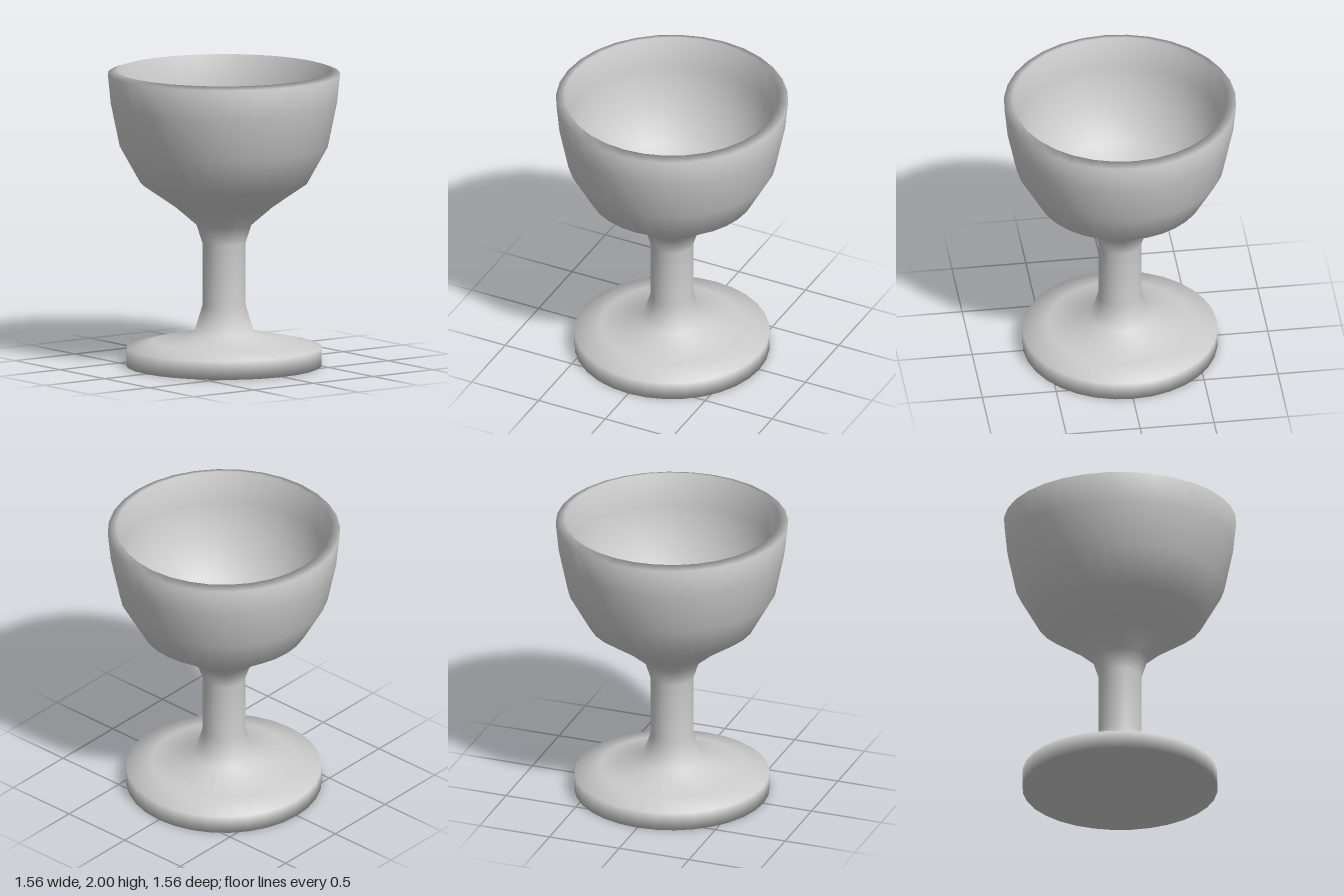
import * as THREE from 'three';

// Half cross-section as [radius, height], from the underside centre, up the outside, over the rim and down inside
const FOOT = [[0, 0], [0.655, 0], [0.655, 0.125], [0.48, 0.166], [0.2, 0.228]];
const STEM = [[0.145, 0.41], [0.145, 0.83], [0.185, 0.955]];
const BOWL_OUTSIDE = [[0.33, 1.08], [0.56, 1.24], [0.7, 1.49], [0.76, 1.78], [0.78, 1.98]];
const BOWL_INSIDE = [[0.72, 2.0], [0.7, 1.77], [0.64, 1.52], [0.5, 1.3], [0.28, 1.16], [0, 1.1]];

export function createModel() {
  const group = new THREE.Group();
  group.name = 'goblet';

  const grey = new THREE.MeshStandardMaterial({ color: 0xcccccc });
  grey.name = 'plain grey';

  // Foot, stem and bowl are one continuous smooth turned surface
  const profile = [...FOOT, ...STEM, ...BOWL_OUTSIDE, ...BOWL_INSIDE]
    .map(([r, y]) => new THREE.Vector2(r, y));
  const goblet = new THREE.Mesh(new THREE.LatheGeometry(profile, 32), grey);
  goblet.name = 'footStemAndBowl';
  group.add(goblet);

  return group;
}
